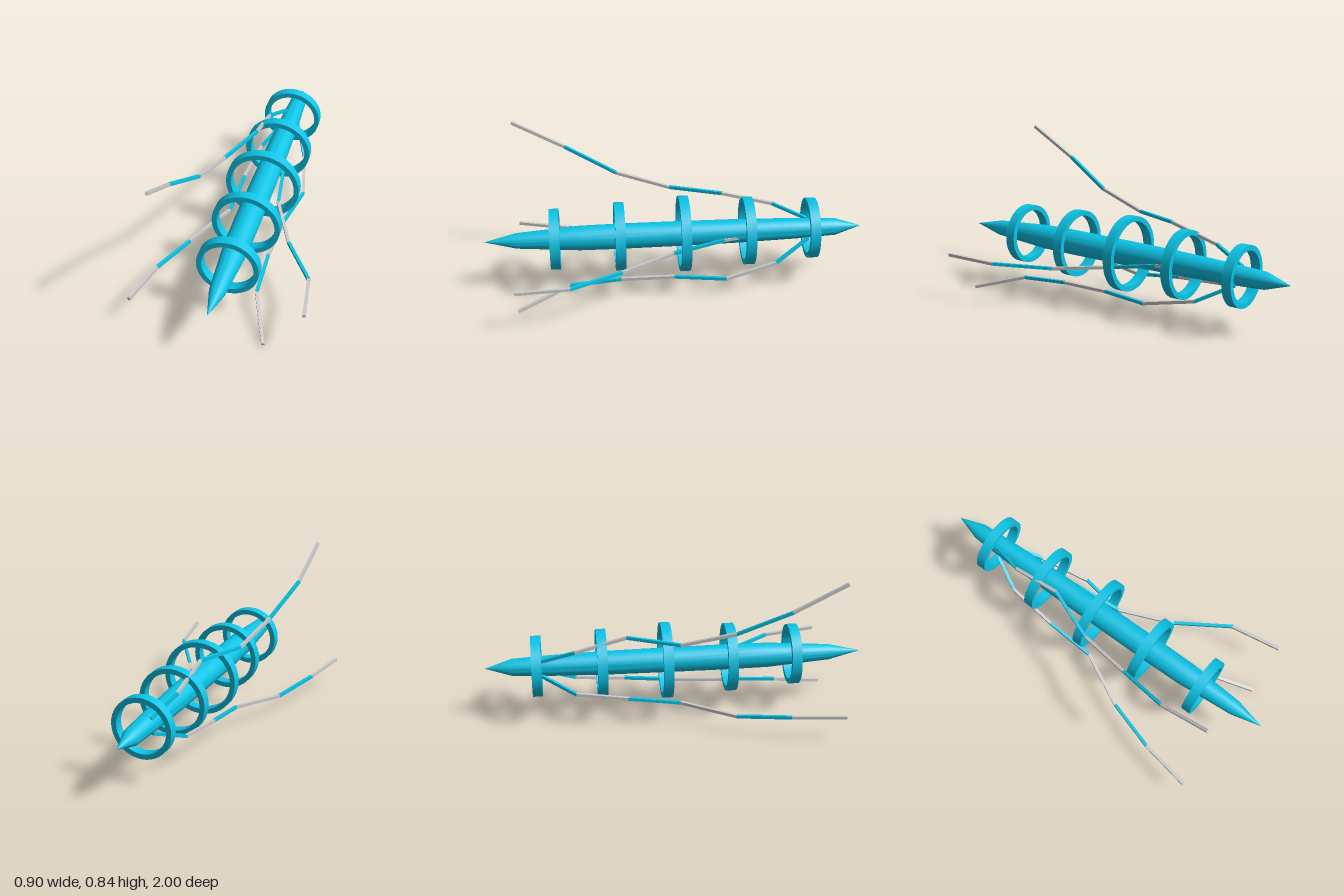
import * as THREE from 'three';
import { toCreasedNormals } from 'three/addons/utils/BufferGeometryUtils.js';

const AXIS_X = 0.012, AXIS_Y = 0.3;
const cyan = new THREE.MeshStandardMaterial({ color: 0x0cc4e6 });
const grey = new THREE.MeshStandardMaterial({ color: 0xcccccc });

// Solid of revolution around z from [radius, z] pairs
function turned(name, profile, crease) {
  const points = profile.map(([r, z]) => new THREE.Vector2(r, z));
  const geometry = new THREE.LatheGeometry(points, 40).rotateX(Math.PI / 2);
  const mesh = new THREE.Mesh(toCreasedNormals(geometry, crease), cyan);
  mesh.name = name;
  mesh.position.set(AXIS_X, AXIS_Y, 0);
  return mesh;
}

// Jointed arm: square bars between joints, alternating colours
function tentacle(name, joints) {
  const arm = new THREE.Group();
  arm.name = name;
  const points = joints.map((p) => new THREE.Vector3(...p));
  for (let i = 0; i < points.length - 1; i++) {
    const a = points[i], b = points[i + 1];
    const bar = new THREE.Mesh(
      new THREE.BoxGeometry(0.016, 0.016, a.distanceTo(b) + 0.004),
      i % 2 ? grey : cyan
    );
    bar.name = 'tentacleSegment';
    bar.position.copy(a).lerp(b, 0.5);
    bar.lookAt(b);
    arm.add(bar);
  }
  return arm;
}

export function createModel() {
  const model = new THREE.Group();
  model.name = 'ringedSpindle';

  // Long hull tapering to a point at both ends
  model.add(turned('hull', [
    [0, -1], [0.045, -0.86], [0.055, -0.65], [0.063, -0.35], [0.066, 0],
    [0.067, 0.3], [0.065, 0.5], [0.041, 0.83], [0, 1],
  ], 0.6));

  // Five rings, the middle one largest
  const h = 0.026;
  [0.16, 0.18, 0.2, 0.18, 0.16].forEach((r, i) => {
    const inner = r - 0.027;
    const ring = turned('ring', [[inner, -h], [r, -h], [r, h], [inner, h], [inner, -h]], 0.5);
    ring.position.z = -0.73 + i * 0.34;
    model.add(ring);
  });

  // Four trailing tentacles rooted near the rear ring
  model.add(
    tentacle('upperRightTentacle', [
      [-0.02, 0.34, -0.71], [-0.075, 0.41, -0.53], [-0.077, 0.483, -0.26], [-0.183, 0.477, 0.01],
      [-0.235, 0.55, 0.29], [-0.3, 0.685, 0.56], [-0.311, 0.83, 0.83],
    ]),
    tentacle('lowerRightTentacle', [
      [-0.03, 0.265, -0.71], [-0.12, 0.19, -0.53], [-0.15, 0.165, -0.26], [-0.16, 0.132, 0.01],
      [-0.3, 0.11, 0.29], [-0.39, 0.137, 0.56], [-0.443, 0.15, 0.83],
    ]),
    tentacle('upperLeftTentacle', [
      [0.03, 0.3, -0.71], [0.035, 0.3, -0.53], [0.077, 0.285, -0.26], [0.11, 0.238, 0.01],
      [0.235, 0.212, 0.29], [0.4, 0.232, 0.56], [0.438, 0.245, 0.83],
    ]),
    tentacle('lowerLeftTentacle', [
      [0.05, 0.257, -0.71], [0.13, 0.162, -0.53], [0.187, 0.114, -0.26], [0.14, 0.113, 0.01],
      [0.127, 0.106, 0.29], [0.135, 0.087, 0.56], [0.238, 0.01, 0.83],
    ])
  );
  return model;
}
